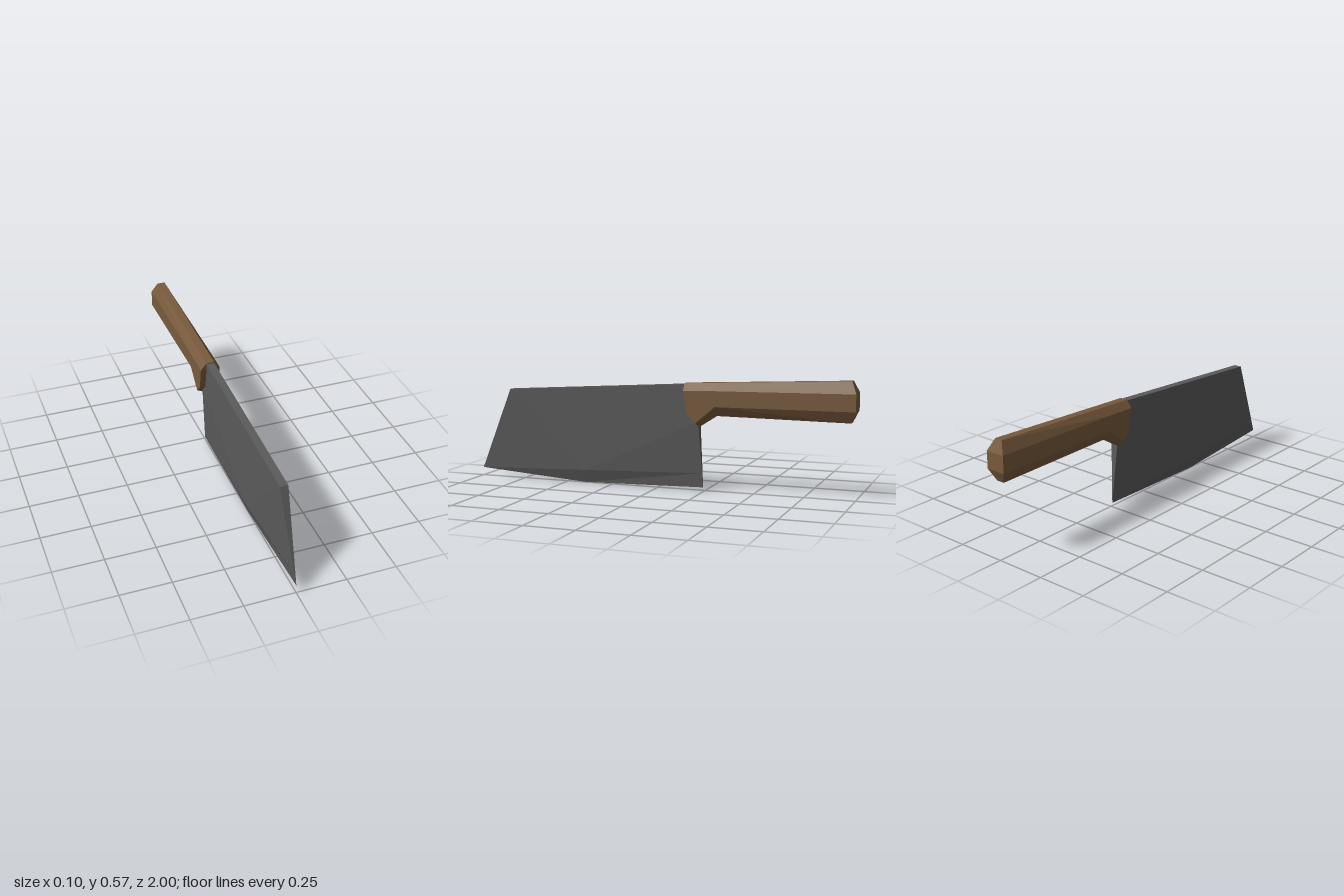
import * as THREE from 'three';

// Points are [halfWidth, y, z]; side +1 or -1 picks the left or right half.
const at = (p, side) => [p[0] * side, p[1], p[2]];

// Collects flat polygons and turns them into a faceted geometry.
class Faces {
  constructor() { this.pos = []; }
  poly(...pts) {
    for (let i = 1; i < pts.length - 1; i++) this.pos.push(...pts[0], ...pts[i], ...pts[i + 1]);
  }
  // Polygon on the +x half plus its mirror image.
  mirrored(...pts) {
    this.poly(...pts.map((p) => at(p, 1)));
    this.poly(...pts.map((p) => at(p, -1)).reverse());
  }
  // Face spanning the width between two outline points.
  across(p, q) { this.poly(at(p, -1), at(p, 1), at(q, 1), at(q, -1)); }
  mesh(name, material) {
    const g = new THREE.BufferGeometry();
    g.setAttribute('position', new THREE.Float32BufferAttribute(this.pos, 3));
    g.computeVertexNormals();
    const m = new THREE.Mesh(g, material);
    m.name = name;
    return m;
  }
}

function createBlade(material) {
  const f = new Faces();
  // Cutting edge
  const tip = [0, 0.045, 1], belly = [0, 0.003, 0.4], heel = [0, 0.018, -0.24];
  // Start of the bevel
  const tipBevel = [0.0021, 0.09, 0.981], bellyBevel = [0.02, 0.07, 0.4], heelBevel = [0.0045, 0.09, -0.235];
  // Spine and the part hidden in the handle
  const spineFront = [0.02, 0.475, 0.82], spineBack = [0.02, 0.535, -0.16], heelTop = [0.02, 0.35, -0.218];

  const upper = [tipBevel, spineFront, spineBack, heelTop, heelBevel];
  for (let i = 0; i < upper.length - 1; i++) f.mirrored(bellyBevel, upper[i + 1], upper[i]);
  f.mirrored(tip, belly, bellyBevel, tipBevel);
  f.mirrored(belly, heel, heelBevel, bellyBevel);
  // Nose, spine and heel
  const rim = [tip, ...upper, heel];
  for (let i = 0; i < rim.length - 1; i++) f.across(rim[i], rim[i + 1]);
  return f.mesh('blade', material);
}

function createHandle(material) {
  const f = new Faces();
  // Half sections from top to bottom: bolster, finger notch, butt
  const sections = [
    [[0.02, 0.539, -0.146], [0.05, 0.503, -0.149], [0.05, 0.39, -0.168], [0.05, 0.345, -0.212], [0.02, 0.325, -0.222]],
    [[0.02, 0.546, -0.31], [0.05, 0.508, -0.31], [0.05, 0.45, -0.31], [0.05, 0.43, -0.312], [0.02, 0.383, -0.312]],
    [[0.02, 0.576, -0.975], [0.05, 0.518, -1], [0.05, 0.46, -1], [0.05, 0.434, -1], [0.02, 0.377, -0.975]],
  ];
  for (let s = 0; s < 2; s++) {
    const a = sections[s], b = sections[s + 1];
    for (let i = 0; i < 4; i++) f.mirrored(a[i], a[i + 1], b[i + 1], b[i]);
    f.across(a[0], b[0]); // top strip
    f.across(b[4], a[4]); // bottom strip
  }
  // End faces
  for (let i = 0; i < 4; i++) {
    f.across(sections[0][i + 1], sections[0][i]);
    f.across(sections[2][i], sections[2][i + 1]);
  }
  return f.mesh('handle', material);
}

export function createModel() {
  const steel = new THREE.MeshStandardMaterial({ color: 0x5a5a5a });
  steel.name = 'dark steel';
  const wood = new THREE.MeshStandardMaterial({ color: 0x785a3c });
  wood.name = 'brown wood';
  const group = new THREE.Group();
  group.name = 'cleaver';
  group.add(createBlade(steel), createHandle(wood));
  return group;
}
